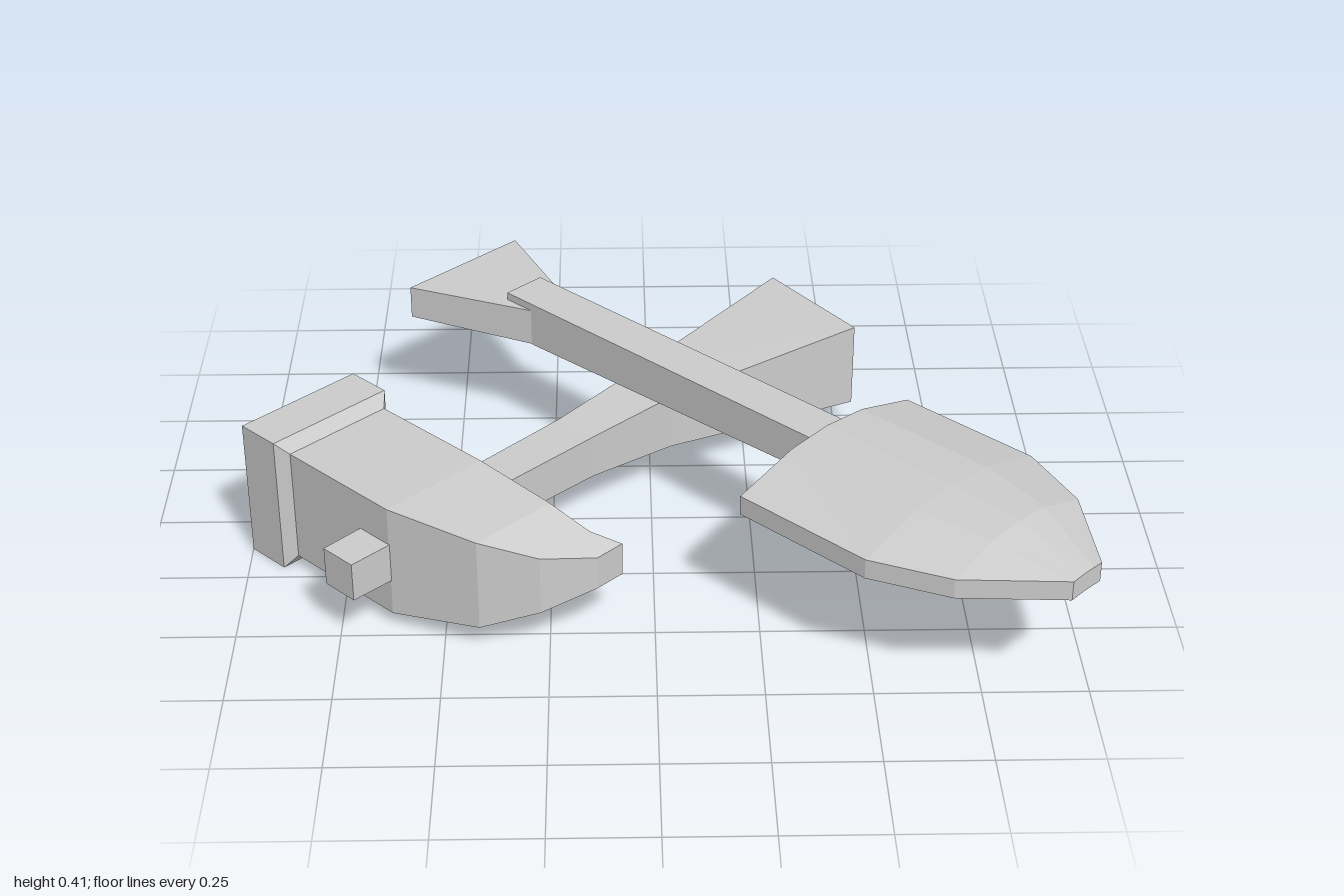
import * as THREE from 'three';

const material = new THREE.MeshStandardMaterial({ color: 0xcccccc, flatShading: true });

// Skins a row of rings; each ring runs along its lower edge, then back along its upper edge.
function loft(name, rings) {
  const pos = [], n = rings[0].length, last = rings[rings.length - 1];
  const quad = (a, b, c, d) => [a, b, c, a, c, d].forEach(p => pos.push(...p));
  for (let k = 0; k < rings.length - 1; k++) {
    const a = rings[k], b = rings[k + 1];
    for (let i = 0; i < n; i++) {
      const j = (i + 1) % n;
      quad(a[i], a[j], b[j], b[i]);
    }
  }
  // end caps as strips between lower and upper edge
  for (let i = 0; i < n / 2 - 1; i++) {
    const f = rings[0];
    quad(f[n - 1 - i], f[n - 2 - i], f[i + 1], f[i]);
    quad(last[i], last[i + 1], last[n - 2 - i], last[n - 1 - i]);
  }
  const geometry = new THREE.BufferGeometry();
  geometry.setAttribute('position', new THREE.Float32BufferAttribute(pos, 3));
  geometry.computeVertexNormals();
  const mesh = new THREE.Mesh(geometry, material);
  mesh.name = name;
  return mesh;
}

// Rectangular ring for lofts running along z; za and zb allow a slanted cut
const ringZ = ([x0, x1, y0, y1, za, zb = za]) =>
  [[x0, y0, za], [x1, y0, zb], [x1, y1, zb], [x0, y1, za]];

// Rectangular ring for lofts running along x
const ringX = ([z0, z1, y0, y1, xa, xb = xa]) =>
  [[xb, y0, z1], [xa, y0, z0], [xa, y1, z0], [xb, y1, z1]];

// Arched ring of the shovel blade with constant thickness
function bladeRing([z, half, crest]) {
  const edge = 0.35, thick = 0.05, mid = 0.134;
  const top = [-1, -0.42, 0, 0.42, 1].map(f =>
    [mid + f * half, edge + (crest - edge) * (1 - f * f), z]);
  const bottom = top.map(([x, y]) => [x, y - thick, z]);
  return [...bottom, ...top.reverse()];
}

export function createModel() {
  const model = new THREE.Group();
  model.name = 'crossedTools';

  // Hammer: flared handle through a curved, tapering head
  const hammer = new THREE.Group();
  hammer.name = 'hammer';
  hammer.add(
    loft('hammerHandle', [
      [-0.22, -0.12, 0.13, 0.23, -0.882],
      [-0.232, -0.108, 0.125, 0.24, -0.1],
      [-0.242, -0.085, 0.108, 0.256, 0.16],
      [-0.279, 0.064, 0.07, 0.298, 0.767, 0.707],
    ].map(ringX)),
    loft('hammerFace', [
      [-0.794, -0.44, 0, 0.36, -0.62],
      [-0.794, -0.44, 0, 0.36, -0.5],
      [-0.767, -0.467, 0.035, 0.33, -0.473],
    ].map(ringZ)),
    loft('hammerHead', [
      [-0.767, -0.467, 0.035, 0.33, -0.473],
      [-0.767, -0.467, 0.035, 0.33, -0.12],
      [-0.69, -0.453, 0.063, 0.302, 0.103],
      [-0.588, -0.425, 0.105, 0.257, 0.207],
      [-0.459, -0.376, 0.14, 0.226, 0.267],
    ].map(ringZ)),
  );

  // Shovel: straight shaft, flared grip and arched blade
  const shovel = new THREE.Group();
  shovel.name = 'shovel';
  shovel.add(
    loft('shovelShaft', [
      [0.074, 0.194, 0.29, 0.4, -0.598],
      [0.074, 0.194, 0.28, 0.4, -0.5],
      [0.074, 0.194, 0.302, 0.4, 0.48],
    ].map(ringZ)),
    loft('shovelGrip', [
      [-0.06, 0.322, 0.293, 0.38, -0.831],
      [0.076, 0.192, 0.281, 0.38, -0.504],
    ].map(ringZ)),
    loft('shovelBlade', [
      [0.456, 0.308, 0.41],
      [0.838, 0.308, 0.411],
      [1.032, 0.23, 0.4],
      [1.227, 0.053, 0.352],
    ].map(bladeRing)),
  );

  model.add(hammer, shovel);
  // Both tools lie diagonally
  for (const tool of [hammer, shovel]) tool.rotation.y = Math.PI / 4;
  return model;
}
